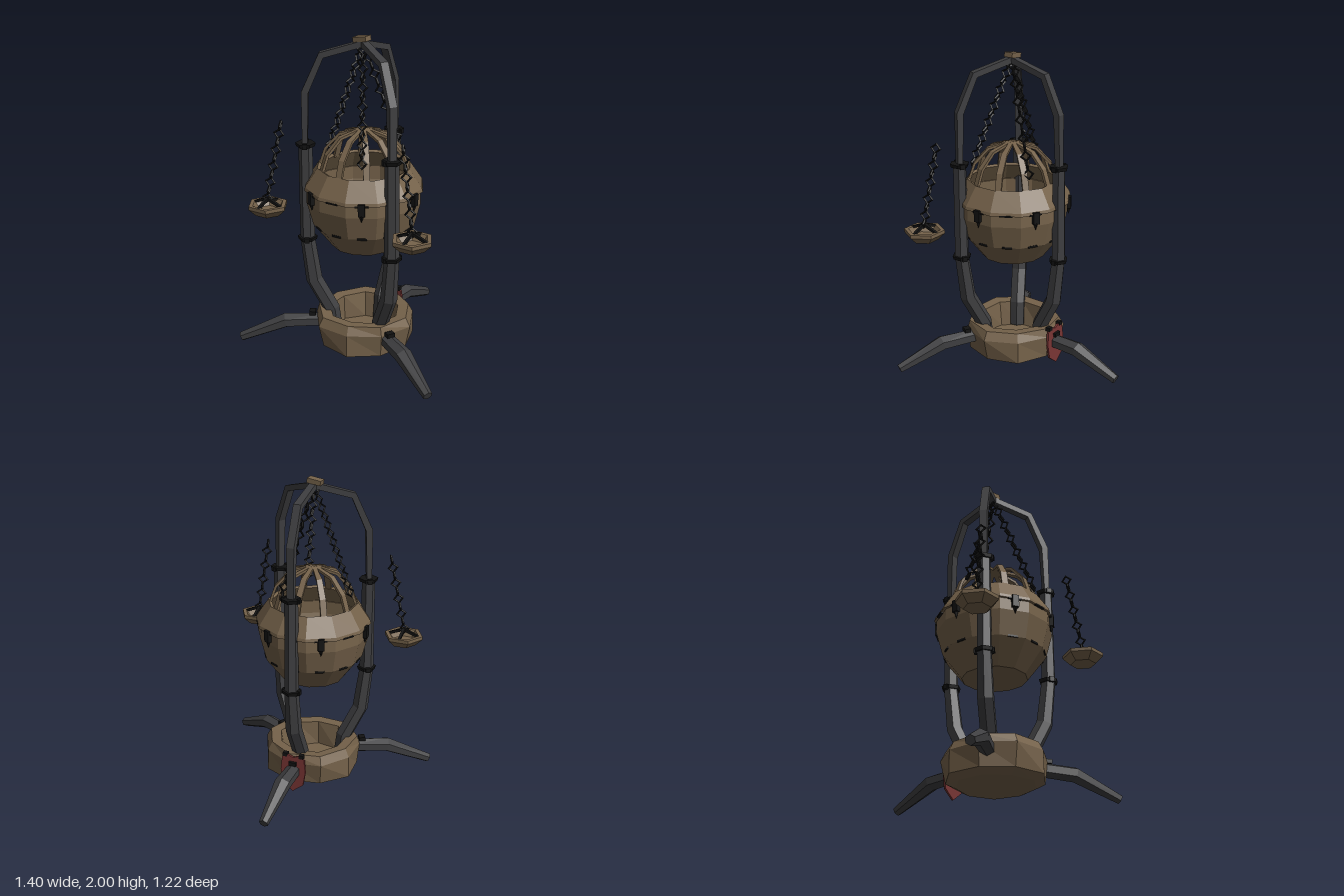
import * as THREE from 'three';

const mat = (name, color) => new THREE.MeshStandardMaterial({ name, color, flatShading: true, side: THREE.DoubleSide });

export function createModel() {
  const bronze = mat('bronze', 0x75624a);
  const iron = mat('iron', 0x3e3e40);
  const black = mat('blackIron', 0x121212);
  const red = mat('redEnamel', 0x783534);
  const ash = mat('ash', 0x4a4a48);

  const model = new THREE.Group();
  model.name = 'hangingBrazier';
  const body = new THREE.Group();   // everything turns around this axis
  body.name = 'body';
  body.position.z = 0.18;
  model.add(body);

  const add = (parent, name, geo, material, x = 0, y = 0, z = 0) => {
    const m = new THREE.Mesh(geo, material);
    m.name = name;
    m.position.set(x, y, z);
    parent.add(m);
    return m;
  };
  const spoke = (parent, name, angle) => {   // group whose +z points outwards
    const g = new THREE.Group();
    g.name = name;
    g.rotation.y = angle;
    parent.add(g);
    return g;
  };
  const lathe = (pts, sides, start = 0) =>
    new THREE.LatheGeometry(pts.map(p => new THREE.Vector2(...p)), sides, start);

  // Sweep in the z-y plane; each point is [z, y, halfWidth, halfThickness]
  const sweep = (pts, sides) => {
    const pos = [], idx = [], last = pts.length - 1;
    pts.forEach(([z, y, w, t], i) => {
      const a = pts[Math.max(i - 1, 0)], b = pts[Math.min(i + 1, last)];
      const dz = b[0] - a[0], dy = b[1] - a[1], len = Math.hypot(dz, dy);
      for (let k = 0; k < sides; k++) {
        const q = (k + 0.5) / sides * Math.PI * 2;
        const u = Math.cos(q) * w, v = Math.sin(q) * t;
        pos.push(u, y + v * dz / len, z - v * dy / len);
      }
    });
    for (let i = 0; i < last; i++) for (let k = 0; k < sides; k++) {
      const a = i * sides + k, b = i * sides + (k + 1) % sides;
      idx.push(a, a + sides, b, b, a + sides, b + sides);
    }
    for (let k = 1; k < sides - 1; k++) {
      const e = last * sides;
      idx.push(0, k, k + 1, e, e + k + 1, e + k);
    }
    const g = new THREE.BufferGeometry();
    g.setAttribute('position', new THREE.Float32BufferAttribute(pos, 3));
    g.setIndex(idx);
    g.computeVertexNormals();
    return g;
  };

  // Chain of diamond links, each turned a quarter from the last
  const linkGeo = new THREE.TorusGeometry(0.028, 0.008, 4, 4);
  const chain = (parent, name, from, to, count) => {
    const a = new THREE.Vector3(...from), b = new THREE.Vector3(...to);
    const g = new THREE.Group();
    g.name = name;
    g.position.copy(a);
    g.quaternion.setFromUnitVectors(new THREE.Vector3(0, 1, 0), b.clone().sub(a).normalize());
    const step = a.distanceTo(b) / (count - 1);
    for (let i = 0; i < count; i++)
      add(g, 'chainLink', linkGeo, black, 0, i * step, 0).rotation.y = 0.4 + i * Math.PI / 2;
    parent.add(g);
  };

  // Rough hollow base
  const baseGeo = lathe([[0, 0.02], [0.24, 0.03], [0.3, 0.06], [0.315, 0.2], [0.29, 0.255],
    [0.22, 0.25], [0.2, 0.09], [0, 0.08]], 9, 0.2);
  const p = baseGeo.attributes.position;
  for (let i = 0; i < p.count; i++) {
    const x = p.getX(i), y = p.getY(i), z = p.getZ(i);
    const s = 1 + 0.035 * Math.sin(3 * Math.atan2(x, z) + y * 16);
    p.setXYZ(i, x * s, y, z * s);
  }
  add(body, 'base', baseGeo, bronze);

  // Three legs: foot, post, collars and arch
  const footGeo = sweep([[0.25, 0.165, 0.045, 0.045], [0.5, 0.155, 0.055, 0.048], [0.79, 0.033, 0.03, 0.03]], 6);
  const postGeo = sweep([[0.19, 0.1, 0.05, 0.05], [0.21, 0.25, 0.052, 0.052], [0.315, 0.45, 0.052, 0.052],
    [0.35, 0.73, 0.045, 0.045], [0.35, 1.34, 0.042, 0.042]], 6);
  const archGeo = sweep([[0.352, 1.33, 0.03, 0.022], [0.345, 1.66, 0.035, 0.03],
    [0.245, 1.885, 0.035, 0.028], [0, 1.955, 0.03, 0.026]], 4);
  const collarGeo = new THREE.CylinderGeometry(0.062, 0.056, 0.022, 6);
  [Math.PI, Math.PI / 3, -Math.PI / 3].forEach(angle => {
    const leg = spoke(body, 'leg', angle);
    add(leg, 'foot', footGeo, iron);
    add(leg, 'post', postGeo, iron);
    add(leg, 'arch', archGeo, iron);
    for (const y of [0.73, 1.335]) {
      add(leg, 'collar', collarGeo, black, 0, y, 0.35);
      for (const s of [-1, 1])
        add(leg, 'collarStud', new THREE.BoxGeometry(0.02, 0.03, 0.03), black, s * 0.05, y, 0.35);
    }
    add(leg, 'footClasp', new THREE.BoxGeometry(0.05, 0.025, 0.04), black, 0, 0.215, 0.33);
  });
  const cap = add(body, 'topCap', new THREE.BoxGeometry(0.09, 0.03, 0.06), bronze, -0.01, 1.98, 0);
  cap.rotation.z = 0.15;

  // Shield plate behind the base
  const shield = new THREE.Shape([[0, 0.015], [0.07, 0.07], [0.085, 0.16], [0.075, 0.25], [0.035, 0.27],
    [0, 0.255], [-0.035, 0.27], [-0.075, 0.25], [-0.085, 0.16], [-0.07, 0.07]].map(q => new THREE.Vector2(...q)));
  const back = spoke(body, 'shield', Math.PI);
  add(back, 'shieldPlate', new THREE.ExtrudeGeometry(shield, { depth: 0.014, bevelEnabled: false }), red, 0, 0, 0.325)
    .rotation.x = -0.03;
  for (const s of [-1, 1])
    add(back, 'shieldClip', new THREE.BoxGeometry(0.03, 0.025, 0.03), black, s * 0.055, 0.268, 0.32);

  // Fire bowl with a slightly wider upper hoop
  const turn = Math.PI / 12;
  add(body, 'fireBowl', lathe([[0, 0.7], [0.2, 0.7], [0.315, 0.85], [0.355, 1.0], [0.352, 1.085],
    [0.33, 1.085], [0.33, 1.0], [0.29, 0.86], [0.18, 0.73], [0, 0.73]], 12, turn), bronze);
  add(body, 'bowlHoop', lathe([[0.345, 1.072], [0.367, 1.075], [0.362, 1.095], [0.285, 1.21],
    [0.265, 1.2], [0.335, 1.09], [0.345, 1.072]], 12, turn), bronze);
  add(body, 'ashBed', new THREE.CylinderGeometry(0.24, 0.24, 0.01, 12), ash, 0, 0.83, 0);

  // Clips and slots around the bowl
  for (let i = 0; i < 12; i++) {
    const s = spoke(body, 'bowlFitting', i * Math.PI / 6);
    add(s, 'lowerSlot', new THREE.BoxGeometry(0.06, 0.012, 0.012), black, 0, 0.852, 0.303);
    add(s, 'upperSlot', new THREE.BoxGeometry(0.08, 0.01, 0.016), black, 0, 1.075, 0.348);
    if (i % 2) {
      add(s, 'clip', new THREE.BoxGeometry(0.04, 0.075, 0.03), black, 0, 1.055, 0.352);
      add(s, 'clipTip', new THREE.ConeGeometry(0.018, 0.05, 4), black, 0, 1.0, 0.35).rotation.x = Math.PI;
    }
  }

  // Cage ribs meeting at the crown
  const ribGeo = sweep([[0.272, 1.19, 0.028, 0.012], [0.235, 1.3, 0.028, 0.012], [0.15, 1.395, 0.026, 0.012],
    [0, 1.44, 0.016, 0.012]], 4);
  for (let i = 0; i < 10; i++) add(spoke(body, 'cage', i * Math.PI / 5), 'cageRib', ribGeo, bronze);

  // Three chains holding the bowl
  [-Math.PI / 2, Math.PI / 6, Math.PI * 5 / 6].forEach(angle =>
    chain(spoke(body, 'bowlChain', angle), 'chain', [0, 1.92, 0.015], [0, 1.3, 0.245], 13));

  // Two hanging pans with crossed brackets
  const panGeo = lathe([[0, 0.885], [0.08, 0.885], [0.126, 0.93], [0.126, 0.952], [0.1, 0.952],
    [0.07, 0.91], [0, 0.905]], 6, Math.PI / 2);
  const armGeo = sweep([[0.1, 0.945, 0.012, 0.01], [0.05, 0.965, 0.012, 0.012], [0, 0.985, 0.014, 0.014]], 4);
  for (const s of [-1, 1]) {
    const pan = new THREE.Group();
    pan.name = s > 0 ? 'leftPan' : 'rightPan';
    pan.position.set(s * 0.51, 0, 0.475);
    model.add(pan);
    add(pan, 'panDish', panGeo, bronze);
    for (let i = 0; i < 4; i++) add(spoke(pan, 'panBracket', i * Math.PI / 2), 'bracketArm', armGeo, black);
    chain(pan, 'panChain', [0, 0.99, 0], [-s * 0.085, 1.455, -0.04], 10);
  }
  return model;
}
